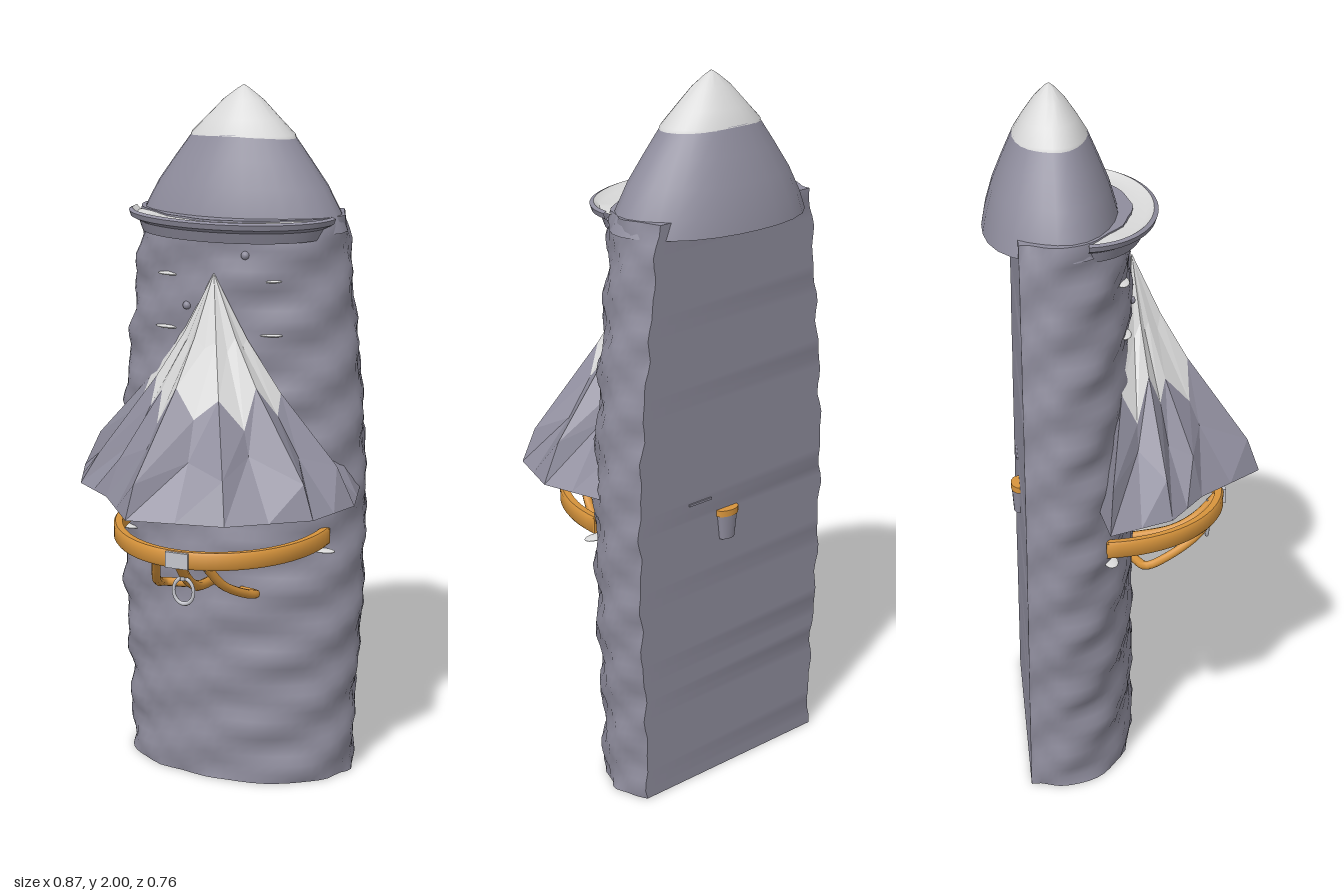
import * as THREE from 'three';
import { toCreasedNormals } from 'three/addons/utils/BufferGeometryUtils.js';

const CX = 0.015; // sideways centre of the tower

const mat = (name, color, extra = {}) => {
  const m = new THREE.MeshStandardMaterial({ color, ...extra });
  m.name = name;
  return m;
};

// Skin rows of [x, y, z] points; rows run upwards, points run from +x towards +z.
function loft(rows, { closed = true, bottom = false, top = false, crease = 0.7 } = {}) {
  const n = rows[0].length, pos = rows.flat(2), idx = [];
  const steps = closed ? n : n - 1;
  for (let r = 0; r < rows.length - 1; r++) {
    for (let i = 0; i < steps; i++) {
      const a = r * n + i, b = r * n + (i + 1) % n;
      idx.push(a, a + n, b, b, a + n, b + n);
    }
  }
  const cap = (r, up) => {
    const c = pos.length / 3;
    pos.push(...[0, 1, 2].map(k => rows[r].reduce((s, p) => s + p[k], 0) / n));
    for (let i = 0; i < n; i++) {
      const a = r * n + i, b = r * n + (i + 1) % n;
      idx.push(c, up ? b : a, up ? a : b);
    }
  };
  if (bottom) cap(0, false);
  if (top) cap(rows.length - 1, true);
  const g = new THREE.BufferGeometry();
  g.setAttribute('position', new THREE.Float32BufferAttribute(pos, 3));
  g.setIndex(idx);
  g.computeVertexNormals();
  return crease ? toCreasedNormals(g, crease) : g.toNonIndexed();
}

// Linear lookup in a list of [key, value] pairs
function lookup(table, t) {
  for (let i = 1; i < table.length; i++) {
    const [a, va] = table[i - 1], [b, vb] = table[i];
    if (t <= b) return va + (vb - va) * (t - a) / (b - a);
  }
  return table[table.length - 1][1];
}

// Horizontal half ellipse bulging to the front
const arcRow = (rx, rz, y, cz, n = 36) => Array.from({ length: n + 1 }, (_, i) => {
  const a = Math.PI * i / n;
  return [CX + rx * Math.cos(a), y, cz + rz * Math.sin(a)];
});

export function createModel() {
  const root = new THREE.Group();
  const stone = mat('stone', 0x8f8d9d);
  const rock = mat('rock', 0x8f8d9d, { flatShading: true });
  const snow = mat('snow', 0xd9d9d9);
  const facetSnow = mat('facetSnow', 0xd9d9d9, { flatShading: true });
  const orange = mat('orange', 0xd7943c);
  const silver = mat('silver', 0xc4c5cc);
  const add = (name, geo, m, x = 0, y = 0, z = 0) => {
    const mesh = new THREE.Mesh(geo, m);
    mesh.name = name;
    mesh.position.set(x, y, z);
    root.add(mesh);
    return mesh;
  };

  // Tower: rough rounded front, flat back
  const widths = [[0, 0.345], [0.25, 0.35], [0.5, 0.368], [0.85, 0.372], [1.0, 0.365],
    [1.2, 0.35], [1.4, 0.325], [1.6, 0.305], [1.655, 0.295]];
  const half = new THREE.SplineCurve([[0.92, -0.29], [0.97, -0.24], [1, -0.18], [0.9, -0.1], [0.68, -0.035],
    [0.36, 0.012], [0, 0.025]].map(p => new THREE.Vector2(...p))).getPoints(20);
  const section = [...half, ...half.slice(0, -1).reverse().map(p => new THREE.Vector2(-p.x, p.y))];
  const bodyRows = [];
  for (let k = 0; k <= 60; k++) {
    const y = 1.655 * k / 60, w = lookup(widths, y);
    bodyRows.push(section.map((p, i) => {
      const bump = 0.005 * Math.sin(y * 33 + i * 0.5) + 0.004 * Math.sin(y * 57 - i * 0.9 + 2 * Math.sin(i * 0.4));
      const edge = i === 0 || i === section.length - 1;
      return [CX + p.x * (w + bump), y, edge ? -0.29 : p.y + bump * Math.min(1, (p.y + 0.29) * 5)];
    }));
  }
  add('tower', loft(bodyRows, { bottom: true, top: true, crease: 0.9 }), stone);

  // Peaked hat with a snow tip
  const hatRow = ([y, rx, rz]) => Array.from({ length: 28 }, (_, i) => {
    const a = i / 28 * Math.PI * 2, wob = 1 + 0.025 * Math.sin(a * 3 + 1) + 0.015 * Math.sin(a * 5);
    return [CX + rx * wob * Math.cos(a), y, -0.19 + rz * wob * Math.sin(a)];
  });
  add('hat', loft([[1.61, 0.305, 0.187], [1.66, 0.285, 0.178], [1.73, 0.247, 0.158], [1.8, 0.197, 0.13],
    [1.87, 0.145, 0.1]].map(hatRow), { bottom: true }), stone);
  add('hatSnow', loft([[1.853, 0.14, 0.095], [1.857, 0.154, 0.104], [1.868, 0.15, 0.101], [1.91, 0.107, 0.076],
    [1.96, 0.058, 0.042], [1.99, 0.018, 0.014], [2.0, 0.001, 0.001]].map(hatRow), { bottom: true }), snow);

  // Crescent hat brim, snow filled
  const bz = -0.11;
  add('brim', loft([arcRow(0.25, 0.1, 1.6, bz), arcRow(0.265, 0.168, 1.598, bz), arcRow(0.275, 0.18, 1.628, bz),
    arcRow(0.298, 0.205, 1.64, bz), arcRow(0.303, 0.21, 1.655, bz), arcRow(0.293, 0.198, 1.66, bz)],
  { closed: false }), stone).material.side = THREE.DoubleSide;
  add('brimSnow', loft([arcRow(0.293, 0.198, 1.66, bz), arcRow(0.28, 0.175, 1.648, bz), arcRow(0.245, 0.09, 1.652, bz)],
    { closed: false }), snow);

  // Faceted mountain nose: base outline pulled up to an apex
  const corners = [[0.385, -0.16], [0.43, 0.02], [0.37, 0.19], [0.17, 0.335], [-0.1, 0.38],
    [-0.24, 0.2], [-0.365, 0.105], [-0.435, -0.07], [-0.2, -0.1], [0.2, -0.1]];
  const outline = corners.flatMap((p, i) => {
    const q = corners[(i + 1) % corners.length];
    return [p, [(p[0] + q[0]) / 2, (p[1] + q[1]) / 2]];
  });
  const peakRow = (t, zig, ridge) => outline.map(([x, z], i) => {
    const odd = i % 2 ? 1 : -1, tt = t + zig * odd * (i % 4 < 2 ? 1 : 0.5);
    const s = Math.pow(tt, 1.2) * (1 - ridge * odd * (i % 3 ? 1 : 0.4));
    return [CX * (1 - s) + x * s, 1.51 - 0.625 * tt, 0.03 + (z - 0.03) * s];
  });
  const snowLine = peakRow(0.56, 0.085, 0.05);
  add('mountainRock', loft([peakRow(1, 0, 0), peakRow(0.8, -0.05, 0.1), snowLine], { bottom: true, crease: 0 }), rock);
  add('mountainSnow', loft([snowLine, peakRow(0.3, 0.03, 0.06), peakRow(0.002, 0, 0)], { crease: 0 }), facetSnow);

  // Ledge mouth under the mountain
  const ledge = new THREE.CylinderGeometry(0.185, 0.17, 0.045, 32);
  add('mouthLedge', ledge, stone, CX, 0.865, 0.01).scale.z = 0.5;

  // Belt hoop with its buckle
  const hz = -0.065;
  add('beltHoop', loft([arcRow(0.29, 0.335, 0.738, hz), arcRow(0.31, 0.355, 0.735, hz), arcRow(0.315, 0.36, 0.742, hz),
    arcRow(0.315, 0.36, 0.778, hz), arcRow(0.31, 0.355, 0.785, hz), arcRow(0.29, 0.335, 0.783, hz),
    arcRow(0.29, 0.335, 0.738, hz)], { closed: false }), orange);
  for (const s of [-1, 1]) add('hoopEnd', new THREE.BoxGeometry(0.024, 0.045, 0.008), orange, CX + s * 0.302, 0.76, hz);
  add('buckle', new THREE.BoxGeometry(0.066, 0.045, 0.012), silver, CX, 0.76, 0.294);

  // Curved struts from hoop to tower
  for (const s of [-1, 1]) {
    const path = new THREE.CatmullRomCurve3([[0.075, 0.74, 0.265], [0.1, 0.675, 0.21], [0.13, 0.625, 0.12],
      [0.14, 0.605, 0.06], [0.085, 0.598, 0.03]].map(([x, y, z]) => new THREE.Vector3(CX + s * x, y, z)));
    add('strut', new THREE.TubeGeometry(path, 24, 0.013, 8), orange);
  }
  const strap = new THREE.CatmullRomCurve3([[0.745, 0.28], [0.68, 0.22], [0.64, 0.15], [0.62, 0.02]]
    .map(([y, z]) => new THREE.Vector3(CX, y, z)));
  add('centreStrap', new THREE.TubeGeometry(strap, 20, 0.015, 8), orange);

  // Hanging clip
  add('clipRing', new THREE.TorusGeometry(0.03, 0.005, 8, 24), silver, CX, 0.657, 0.25).scale.y = 1.25;
  add('clipStem', new THREE.CylinderGeometry(0.007, 0.007, 0.045, 10), silver, CX, 0.712, 0.255);

  // Small snowy ledges on the face and flanks
  const chip = (x, y, z, w) => add('snowChip', new THREE.SphereGeometry(1, 14, 8), snow, x, y, z).scale.set(w, 0.005, 0.02);
  for (const s of [-1, 1]) {
    chip(CX + s * 0.145, 1.49, -0.01, 0.04);
    chip(CX + s * 0.15, 1.34, -0.005, 0.04);
    chip(CX + s * 0.3, 0.718, -0.055, 0.035);
  }
  add('pebble', new THREE.SphereGeometry(0.012, 10, 8), stone, 0.1, 1.56, 0.012);
  add('pebble', new THREE.SphereGeometry(0.012, 10, 8), stone, -0.07, 1.41, 0.02);

  // Little pouch and chip on the back
  add('backPouch', new THREE.CylinderGeometry(0.035, 0.026, 0.075, 16), stone, 0.04, 0.755, -0.292).scale.z = 0.6;
  add('backPouchRim', new THREE.CylinderGeometry(0.038, 0.038, 0.018, 16), orange, 0.04, 0.797, -0.292).scale.z = 0.6;
  add('backChip', new THREE.BoxGeometry(0.08, 0.006, 0.008), stone, 0.14, 0.85, -0.291);

  return root;
}
